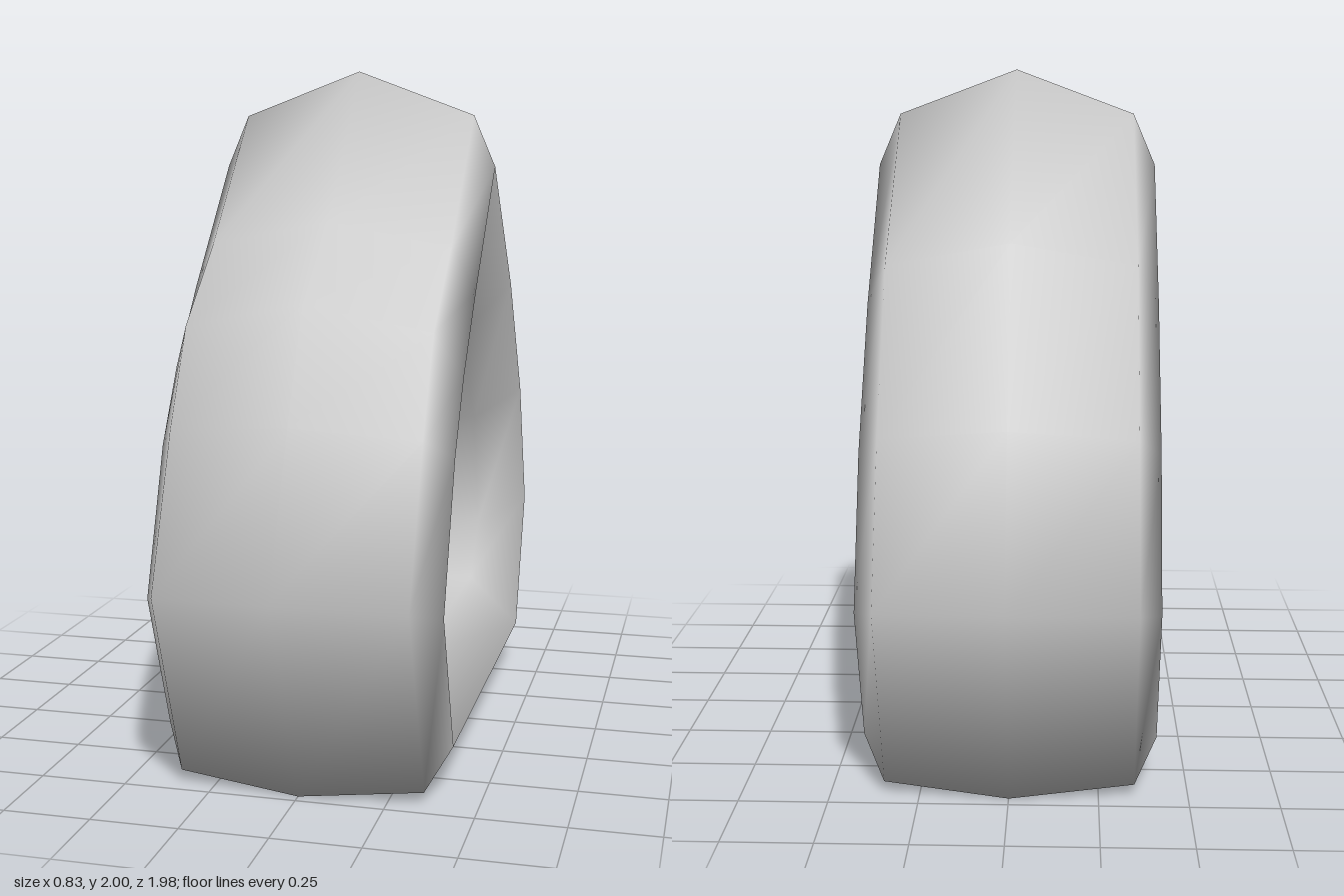
import * as THREE from 'three';

// Stations round the frame: [outer z, outer y, inner z, inner y, shoulder depth, side depth]
const STATIONS = [
  [0, 2, 0, 1.58, 0.31, 0.67],
  [0.37, 1.57, 0.28, 1.22, 0.2, 0.56], // dented front
  [0.65, 1.36, 0.38, 1.0, 0.2, 0.56],
  [0.8, 1.05, 0.48, 0.88, 0.2, 0.56],
  [0.99, 0.62, 0.6, 0.5, 0.22, 0.58],
  [0.72, 0, 0.44, 0.34, 0.1, 0.41], // base
  [-0.71, 0, -0.43, 0.34, 0.1, 0.41],
  [-0.99, 0.62, -0.59, 0.5, 0.2, 0.56], // smooth back
  [-0.79, 1.06, -0.47, 0.88, 0.2, 0.56],
  [-0.54, 1.53, -0.21, 1.19, 0.2, 0.56],
];

// Cross-section as [x, depth from outer edge (0) to inner edge (1)]
function section(shoulder, side) {
  const half = [[0.35, shoulder], [0.415, side], [0.28, 1]];
  const mirrored = half.map(([x, d]) => [-x, d]).reverse();
  return [[0, 0], ...half, [0, 0.95], ...mirrored];
}

// Closed band swept through all stations
function frameGeometry() {
  const positions = [];
  const index = [];
  const n = STATIONS.length;
  const m = 8;
  STATIONS.forEach(([oz, oy, iz, iy, shoulder, side], i) => {
    section(shoulder, side).forEach(([x, d], j) => {
      positions.push(x, oy + (iy - oy) * d, oz + (iz - oz) * d);
      const a = i * m + j;
      const b = ((i + 1) % n) * m + j;
      const c = i * m + ((j + 1) % m);
      const e = ((i + 1) % n) * m + ((j + 1) % m);
      index.push(a, b, c, c, b, e);
    });
  });
  const geometry = new THREE.BufferGeometry();
  geometry.setAttribute('position', new THREE.Float32BufferAttribute(positions, 3));
  geometry.setIndex(index);
  geometry.computeVertexNormals();
  return geometry;
}

export function createModel() {
  const group = new THREE.Group();
  group.name = 'stoneRingWithCrystal';

  // Rounded triangular ring
  const frame = new THREE.Mesh(
    frameGeometry(),
    new THREE.MeshStandardMaterial({ color: 0xcccccc })
  );
  frame.name = 'stoneRing';
  group.add(frame);

  // Floating crystal
  const crystal = new THREE.Mesh(
    new THREE.OctahedronGeometry(1),
    new THREE.MeshStandardMaterial({ color: 0xcccccc, flatShading: true })
  );
  crystal.name = 'crystal';
  crystal.scale.set(0.145, 0.235, 0.145);
  crystal.position.y = 0.795;
  group.add(crystal);

  return group;
}
